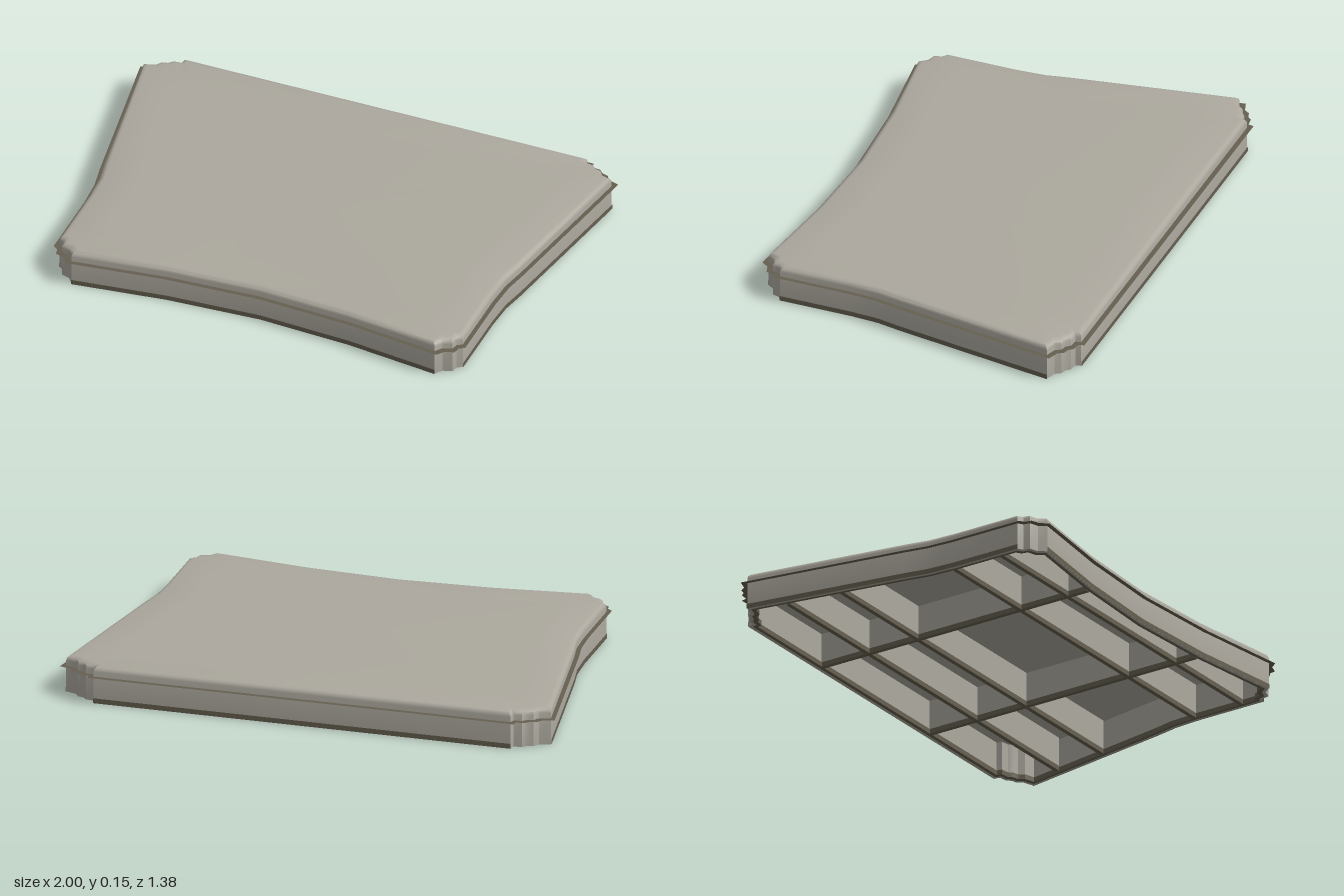
import * as THREE from 'three';
import { toCreasedNormals } from 'three/addons/utils/BufferGeometryUtils.js';

// Left half of the plan outline, [x, z], from back centre to front centre
const HALF = [
  [0, -0.69], [0.86, -0.69], [0.865, -0.667], [0.9, -0.662], [0.915, -0.645], [0.94, -0.638],
  [0.955, -0.615], [1, -0.6], [0.888, 0.08], [0.868, 0.18], [0.861, 0.3], [0.861, 0.605],
  [0.84, 0.62], [0.834, 0.648], [0.797, 0.66], [0.775, 0.69], [0.385, 0.641], [0, 0.62],
];
const mirrored = HALF.slice(1, -1).reverse().map(([x, z]) => [-x, z]);
const OUTLINE = [...HALF, ...mirrored];

// Outline drawn in by a distance; an inset of null means the centre point
const ring = (inset, y) => OUTLINE.map(([x, z]) => inset === null
  ? new THREE.Vector3(0, y, 0)
  : new THREE.Vector3(x * (1 - inset), y, z * (1 - inset / 0.69)));

// Skin a list of [inset, y] rings, keeping only the outline segments wanted
function loft(levels, keep = () => true) {
  const rings = levels.map(([inset, y]) => ring(inset, y));
  const points = [];
  for (let i = 0; i < rings.length - 1; i++) {
    for (let j = 0; j < OUTLINE.length; j++) {
      if (!keep(j)) continue;
      const k = (j + 1) % OUTLINE.length;
      const a = rings[i][j], b = rings[i][k], c = rings[i + 1][k], d = rings[i + 1][j];
      if (levels[i][0] === null) points.push(a, d, c);
      else if (levels[i + 1][0] === null) points.push(a, d, b);
      else points.push(a, d, b, b, d, c);
    }
  }
  const geometry = new THREE.BufferGeometry().setFromPoints(points);
  geometry.computeVertexNormals();
  return toCreasedNormals(geometry, 0.6);
}

export function createModel() {
  const model = new THREE.Group();
  model.name = 'cushionPanel';
  const shellMaterial = new THREE.MeshStandardMaterial({ color: 0xaca89e });
  shellMaterial.name = 'warm grey';
  const trimMaterial = new THREE.MeshStandardMaterial({ color: 0x666050, side: THREE.DoubleSide });
  trimMaterial.name = 'dark olive grey';

  const add = (name, geometry, material, parent = model) => {
    const mesh = new THREE.Mesh(geometry, material);
    mesh.name = name;
    parent.add(mesh);
  };

  // Hollow shell: cavity roof, inner wall, rim, outer wall, rounded edge, slightly domed top
  add('shell', loft([
    [null, 0.14], [0.045, 0.14], [0.045, 0.001], [0.02, 0.001], [0.02, 0.13],
    [0.023, 0.14], [0.031, 0.147], [0.044, 0.15], [0.2, 0.152], [null, 0.153],
  ]), shellMaterial);

  // Thin seam flange around the wall
  add('seamFlange', loft([[0.022, 0.109], [0, 0.109]]), trimMaterial);

  // Dark strip along the foot of the straight sides, leaving out the corners
  const n = OUTLINE.length;
  const onSide = (j) => {
    const i = j < HALF.length - 1 ? j : n - 1 - j;
    return i === 0 || (i >= 7 && i <= 10) || i >= 15;
  };
  add('footStrip', loft([[0.018, 0], [0.018, 0.02]], onSide), trimMaterial);

  // Dark lip under the rim and up the inside of the wall
  add('rimLip', loft([[0.047, 0.02], [0.047, 0], [0.032, 0]]), trimMaterial);

  // Thin crossing ribs on the underside, each with a dark lower edge
  const ribs = new THREE.Group();
  ribs.name = 'ribs';
  model.add(ribs);
  const addRib = (width, depth, x, z) => {
    add('rib', new THREE.BoxGeometry(width, 0.122, depth).translate(x, 0.081, z), shellMaterial, ribs);
    add('ribEdge', new THREE.BoxGeometry(width, 0.02, depth).translate(x, 0.01, z), trimMaterial, ribs);
  };
  for (const [width, z] of [[1.84, -0.43], [1.78, -0.2], [1.64, 0.28], [1.64, 0.5]]) {
    addRib(width, 0.018, 0, z);
  }
  for (const x of [-0.37, 0.37]) addRib(0.018, 1.25, x, -0.03);

  return model;
}
